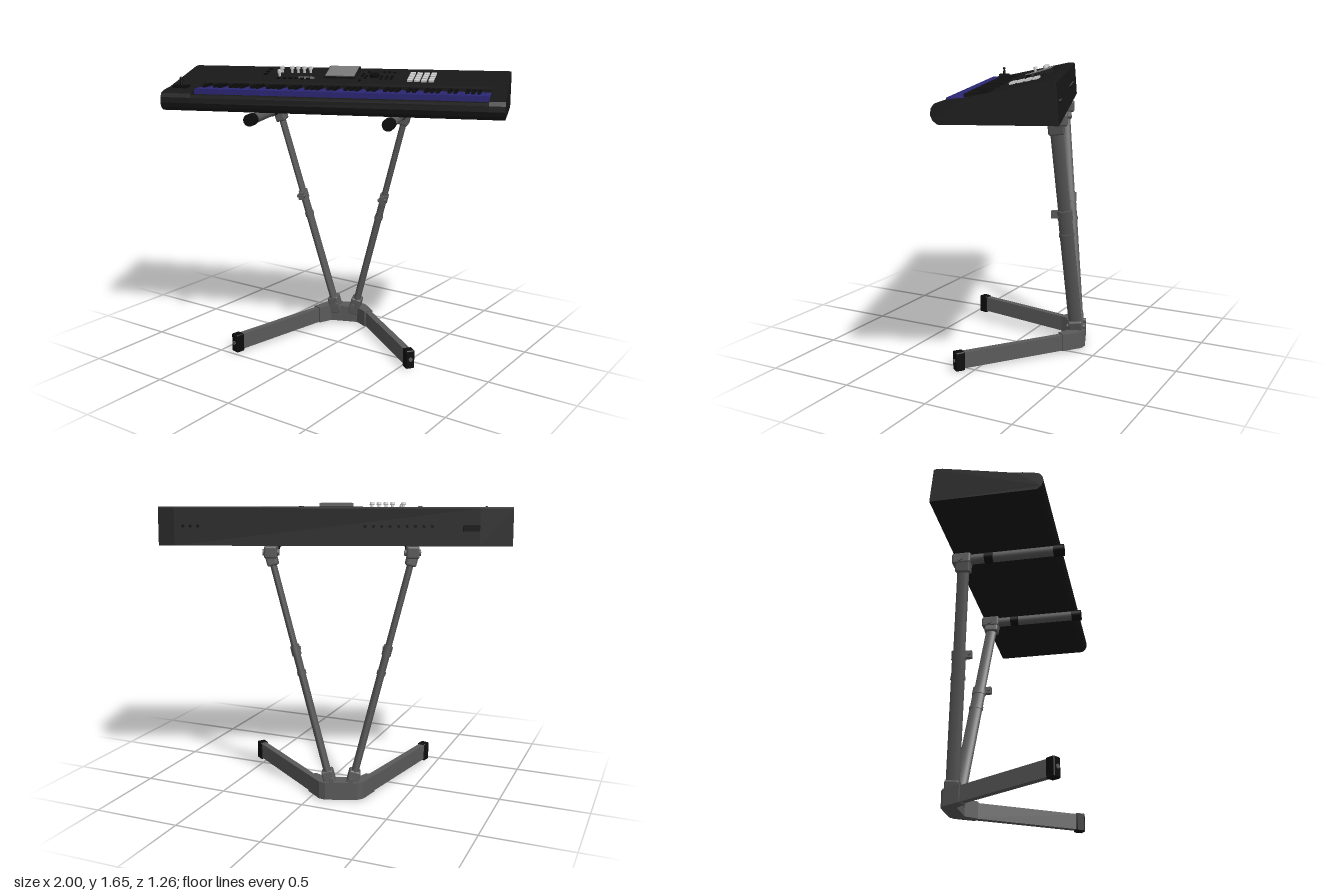
import * as THREE from 'three';
import { RoundedBoxGeometry } from 'three/addons/geometries/RoundedBoxGeometry.js';

const mat = (color, extra = {}) => new THREE.MeshStandardMaterial({ color, ...extra });
const black = mat(0x181818), dark = mat(0x0c0c0c), steel = mat(0x5a5a5a);
const blue = mat(0x2b2675), pale = mat(0xcccccc), glass = mat(0x777777);
const V = (x, y, z) => new THREE.Vector3(x, y, z);
const UP = V(0, 1, 0);

function add(parent, name, geo, material, x = 0, y = 0, z = 0) {
  const m = new THREE.Mesh(geo, material);
  m.name = name;
  m.position.set(x, y, z);
  parent.add(m);
  return m;
}
const box = (w, h, d) => new THREE.BoxGeometry(w, h, d);
const cyl = (r, h, n = 20, r2 = r) => new THREE.CylinderGeometry(r2, r, h, n);

// Aligns the geometry's y axis with the line a-b and centres it there
function along(parent, name, geo, material, a, b) {
  const mid = a.clone().add(b).multiplyScalar(0.5);
  const m = add(parent, name, geo, material, mid.x, mid.y, mid.z);
  m.quaternion.setFromUnitVectors(UP, b.clone().sub(a).normalize());
  return m;
}
function ovalTube(parent, name, material, a, b, rx, rz) {
  return along(parent, name, cyl(1, a.distanceTo(b), 28).scale(rx, 1, rz), material, a, b);
}

// Side profile given as [z, y], extruded along x from x0 to x1
function sideExtrude(points, x0, x1) {
  const shape = new THREE.Shape(points.map(p => new THREE.Vector2(...p)));
  const g = new THREE.ExtrudeGeometry(shape, { depth: x1 - x0, bevelEnabled: false });
  return g.rotateY(-Math.PI / 2).translate(x1, 0, 0);
}

const SLOPE = 0.2125, TILT = Math.atan(SLOPE);
const panelY = z => 1.63 - SLOPE * (z + 0.24);
const KEY0 = -0.775, KEY1 = 0.868;

function keyboard() {
  const g = new THREE.Group();
  g.name = 'keyboard';

  // Case: end cheeks and a middle section with a recessed key bed
  const back = [[-0.29, 1.425], [0.27, 1.425]].map(p => [p[0] < 0 ? -0.304 : p[0], p[1]]);
  const nose = [[0.293, 1.445], [0.303, 1.47], [0.3, 1.5]];
  const rear = [[-0.24, 1.63], [-0.28, 1.632], [-0.288, 1.625]];
  const cheek = [...back, ...nose, [0.285, 1.522], [0.247, 1.535], [0.16, 1.545], ...rear];
  const middle = [...back, ...nose, [0.28, 1.514], [0.247, 1.516], [0.24, 1.505],
    [0.05, 1.505], [0.05, 1.562], [0.03, panelY(0.03)], ...rear];
  add(g, 'leftCheek', sideExtrude(cheek, KEY1, 0.953), black);
  add(g, 'rightCheek', sideExtrude(cheek, -0.953, KEY0), black);
  add(g, 'case', sideExtrude(middle, KEY0, KEY1), black);

  // White-note and black-note keys
  const keys = new THREE.Group();
  keys.name = 'keys';
  g.add(keys);
  const count = 52, pitch = (KEY1 - KEY0) / count;
  const naturalGeo = box(pitch * 0.93, 0.031, 0.188), sharpGeo = box(pitch * 0.55, 0.03, 0.115);
  for (let i = 0; i < count; i++) {
    const x = KEY0 + (i + 0.5) * pitch;
    add(keys, 'naturalKey', naturalGeo, blue, x, 1.5295, 0.147);
    // Note cycle starts at A; B and E have no sharp after them
    if (![1, 4].includes(i % 7) && i < count - 1)
      add(keys, 'sharpKey', sharpGeo, dark, x + pitch / 2, 1.545, 0.11);
  }

  // Anything lying on the sloping control panel
  const onPanel = (name, geo, m, x, z, lift = 0) => {
    const o = add(g, name, geo, m, x, panelY(z) + lift, z);
    o.rotation.x = TILT;
    return o;
  };

  // Raised tilted display
  const housing = add(g, 'displayHousing', box(0.185, 0.03, 0.165), black, -0.005, 1.61, -0.136);
  housing.rotation.x = 0.3;
  const screen = add(g, 'displayScreen', box(0.17, 0.012, 0.15), glass, -0.005, 1.623, -0.134);
  screen.rotation.x = 0.3;

  // Drum pads
  for (let r = 0; r < 4; r++)
    for (let c = 0; c < 4; c++)
      onPanel('pad', box(0.029, 0.014, 0.029), pale, 0.405 + c * 0.04, -0.155 + r * 0.04, 0.004);

  // Knobs and light switches
  for (const [x, z] of [[-0.372, -0.146], [-0.312, -0.148], [-0.275, -0.148], [-0.238, -0.148], [-0.2, -0.148], [-0.368, -0.075]]) {
    onPanel('knobStem', cyl(0.008, 0.03), pale, x, z, 0.012);
    onPanel('knobCap', cyl(0.014, 0.014, 20, 0.012), pale, x, z, 0.03);
  }
  for (let i = 0; i < 3; i++)
    onPanel('lightSwitch', box(0.027, 0.012, 0.014), glass, -0.23 + i * 0.033, -0.042, 0.003);

  // Data wheel and dark buttons
  onPanel('dataWheel', cyl(0.028, 0.02, 28), dark, 0.19, -0.102, 0.008);
  for (let r = 0; r < 5; r++)
    for (const x of [0.12, 0.145, 0.235, 0.265, 0.295])
      if ((r + Math.round(x * 200)) % 3)
        onPanel('button', cyl(0.008, 0.01, 12), dark, x, -0.18 + r * 0.04, 0.003);
  for (let i = 0; i < 6; i++)
    onPanel('button', box(0.02, 0.01, 0.012), dark, -0.36 + i * 0.035, -0.03, 0.003);
  for (const z of [-0.2, -0.15, -0.1])
    onPanel('button', box(0.022, 0.01, 0.016), dark, -0.46, z, 0.003);

  // Pitch stick
  add(g, 'stickBase', box(0.085, 0.016, 0.06), dark, -0.875, 1.55, 0.18);
  add(g, 'stick', cyl(0.008, 0.045, 14, 0.006), dark, -0.875, 1.575, 0.18);
  add(g, 'stickTip', new THREE.SphereGeometry(0.009, 14, 10), dark, -0.875, 1.595, 0.18);

  // Rear sockets
  for (let i = 0; i < 9; i++)
    add(g, 'socket', cyl(0.008, 0.012, 14).rotateX(Math.PI / 2), dark, -0.16 - i * 0.045, 1.53, -0.298);
  for (const x of [0.74, 0.78, 0.82])
    add(g, 'socket', cyl(0.008, 0.012, 14).rotateX(Math.PI / 2), dark, x, 1.53, -0.298);
  add(g, 'powerSocket', box(0.09, 0.03, 0.012), dark, -0.73, 1.52, -0.297);
  return g;
}

function stand() {
  const g = new THREE.Group();
  g.name = 'stand';
  g.position.x = -0.035;

  // Base hub: a bent plate seen from above
  const hubShape = new THREE.Shape([[-0.09, -0.415], [0.09, -0.415], [0.125, -0.395], [0.19, -0.29],
    [0.145, -0.262], [0.085, -0.325], [-0.085, -0.325], [-0.145, -0.262], [-0.19, -0.29],
    [-0.125, -0.395]].map(([x, z]) => new THREE.Vector2(x, -z)));
  const hub = new THREE.ExtrudeGeometry(hubShape, { depth: 0.1, bevelEnabled: false }).rotateX(-Math.PI / 2);
  add(g, 'hub', hub, steel, 0, 0.01, 0);

  for (const s of [-1, 1]) {
    // Floor bar with end cap
    const a = V(s * 0.12, 0.058, -0.355), b = V(s * 0.52, 0.058, 0.285);
    const lerp = (p, q, t) => p.clone().lerp(q, t);
    const yaw = Math.atan2(b.x - a.x, b.z - a.z);
    const mid = lerp(a, b, 0.5), tip = lerp(a, b, 0.975);
    add(g, 'floorBar', box(0.038, 0.092, a.distanceTo(b) * 0.97), steel, mid.x, mid.y, mid.z).rotation.y = yaw;
    add(g, 'floorBarCap', new RoundedBoxGeometry(0.052, 0.11, 0.055, 3, 0.008), dark, tip.x, 0.056, tip.z).rotation.y = yaw;
    const end = lerp(a, b, 1.013);
    const bolt = add(g, 'capBolt', cyl(0.012, 0.008, 16).rotateX(Math.PI / 2), steel, end.x, 0.058, end.z);
    bolt.rotation.y = yaw;

    // Telescoping leg
    const foot = V(s * 0.05, 0.05, -0.365), top = V(s * 0.385, 1.36, -0.25);
    const at = y => lerp(foot, top, (y - foot.y) / (top.y - foot.y));
    ovalTube(g, 'lowerLeg', steel, foot, at(0.83), 0.021, 0.04);
    ovalTube(g, 'upperLeg', steel, at(0.8), top, 0.018, 0.035);
    ovalTube(g, 'legRing', steel, at(0.71), at(0.73), 0.025, 0.044);
    ovalTube(g, 'legClamp', steel, at(0.82), at(0.87), 0.026, 0.044);
    const grip = at(0.845);
    add(g, 'clampLug', box(0.028, 0.042, 0.04), steel, grip.x, grip.y, grip.z + 0.055);
    add(g, 'clampScrew', cyl(0.01, 0.05, 14).rotateZ(Math.PI / 2), steel, grip.x, grip.y, grip.z + 0.06);

    // Bracket gripping the foot of the leg
    along(g, 'footBracket', new RoundedBoxGeometry(0.066, 0.11, 0.082, 3, 0.01), steel, at(0.06), at(0.17));
    add(g, 'bracketBolt', cyl(0.014, 0.11, 16).rotateX(Math.PI / 2), steel, s * 0.055, 0.12, -0.36);

    // Support arm under the keyboard
    const arm = new THREE.Group();
    arm.name = 'supportArm';
    arm.position.set(s * 0.385, 1.39, 0);
    g.add(arm);
    const rod = (name, m, r, z0, z1) =>
      add(arm, name, cyl(r, z1 - z0, 28).rotateX(Math.PI / 2), m, 0, 0, (z0 + z1) / 2);
    rod('armTube', steel, 0.029, -0.28, 0.3);
    rod('armSleeve', dark, 0.033, -0.125, -0.075);
    rod('armCap', dark, 0.034, 0.275, 0.335);

    // Joint between arm and leg
    add(arm, 'armJoint', new RoundedBoxGeometry(0.07, 0.068, 0.11, 3, 0.012), steel, 0, 0, -0.258);
    along(g, 'legCollar', new RoundedBoxGeometry(0.06, 0.08, 0.088, 3, 0.012), steel, at(1.31), at(1.39));
    add(arm, 'jointBolt', cyl(0.018, 0.09, 18).rotateZ(Math.PI / 2), steel, 0, -0.005, -0.265);
  }
  return g;
}

export function createModel() {
  const model = new THREE.Group();
  model.name = 'keyboardOnStand';
  const turned = new THREE.Group();
  turned.name = 'turnedAssembly';
  turned.rotation.y = 0.3735;
  turned.add(keyboard(), stand());
  model.add(turned);
  return model;
}
